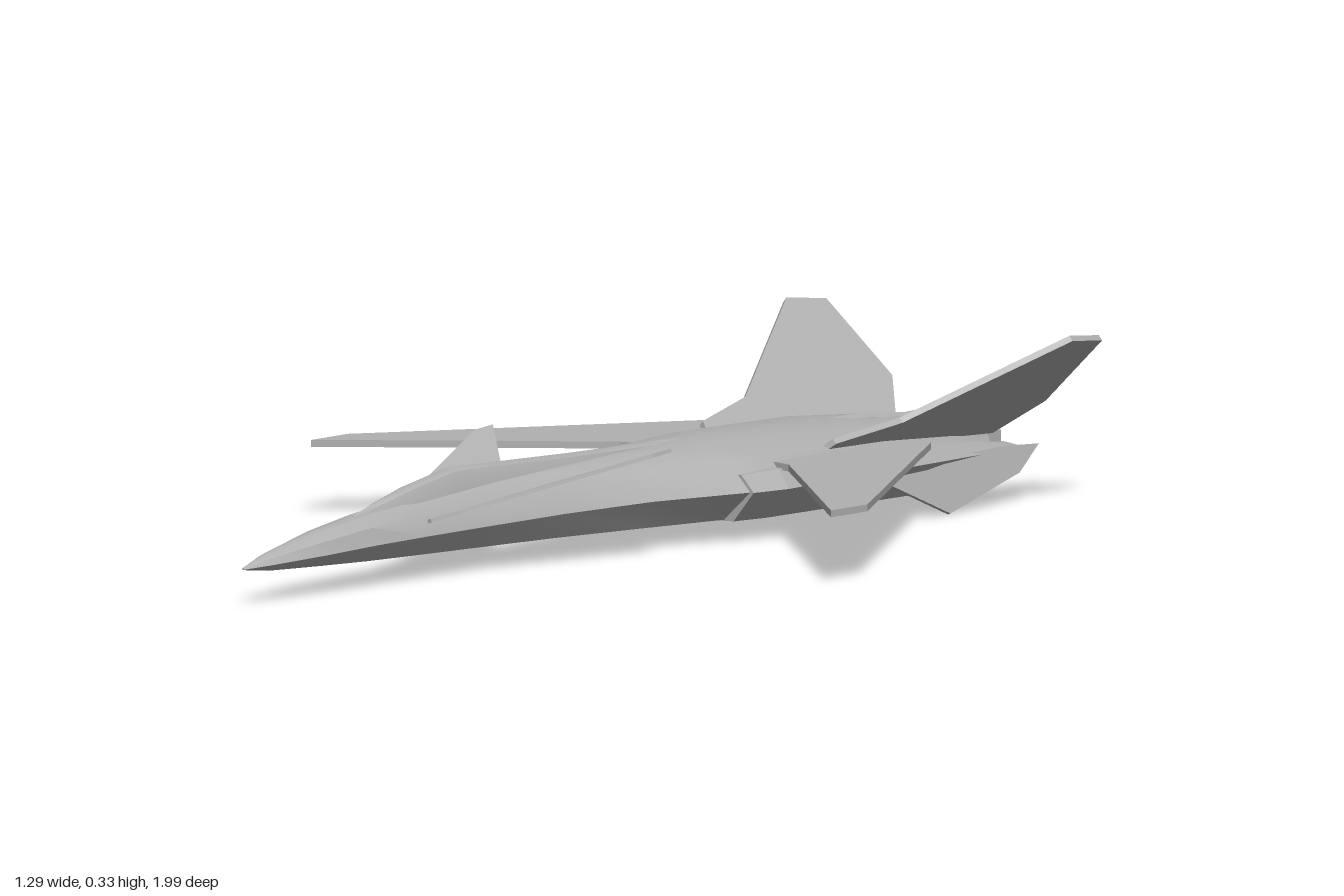
import * as THREE from 'three';
import { toCreasedNormals } from 'three/addons/utils/BufferGeometryUtils.js';

const grey = new THREE.MeshStandardMaterial({ color: 0xb0b0b0, side: THREE.DoubleSide });
grey.name = 'airframe grey';

// Skins mirrored half-sections [z, x0,y0, x1,y1, ...] (bottom centre to top centre, nose to tail)
function loft(name, rows, crease = 0.55) {
  const pos = [], idx = [];
  let n = 0;
  for (const [z, ...v] of rows) {
    const half = [];
    for (let i = 0; i < v.length; i += 2) half.push([v[i], v[i + 1]]);
    const ring = [...half, ...half.slice(1, -1).reverse().map(([x, y]) => [-x, y])];
    n = ring.length;
    ring.forEach(([x, y]) => pos.push(x, y, z));
  }
  for (let i = 0; i < rows.length - 1; i++) {
    for (let j = 0; j < n; j++) {
      const a = i * n + j, b = i * n + (j + 1) % n;
      idx.push(a, a + n, b, b, a + n, b + n);
    }
  }
  const last = (rows.length - 1) * n;
  for (let j = 1; j < n - 1; j++) idx.push(0, j, j + 1, last, last + j + 1, last + j);
  const geo = new THREE.BufferGeometry();
  geo.setAttribute('position', new THREE.Float32BufferAttribute(pos, 3));
  geo.setIndex(idx);
  const mesh = new THREE.Mesh(toCreasedNormals(geo, crease), grey);
  mesh.name = name;
  return mesh;
}

// Flat plate: a 2D outline placed in space by a linear rule, then thickened along its normal
function plate(name, outline, place, thickness) {
  const shape = new THREE.Shape(outline.map(([u, v]) => new THREE.Vector2(u, v)));
  const geo = new THREE.ExtrudeGeometry(shape, { depth: 1, bevelEnabled: false });
  const at = (u, v) => new THREE.Vector3(...place(u, v));
  const o = at(0, 0);
  const normal = at(1, 0).sub(o).cross(at(0, 1).sub(o)).normalize();
  const p = geo.attributes.position;
  for (let i = 0; i < p.count; i++) {
    const q = at(p.getX(i), p.getY(i)).addScaledVector(normal, (p.getZ(i) - 0.5) * thickness);
    p.setXYZ(i, q.x, q.y, q.z);
  }
  geo.computeVertexNormals();
  const mesh = new THREE.Mesh(geo, grey);
  mesh.name = name;
  return mesh;
}

export function createModel() {
  const model = new THREE.Group();
  model.name = 'jet';

  // Chined fuselage: belly edge, chine, shoulder, crown
  const hull = [
    // z, belly x,y, chine x,y, shoulder x,y, crown x,y
    [0.99, 0.001, 0.069, 0.003, 0.07, 0.002, 0.072, 0.001, 0.073],
    [0.93, 0.009, 0.062, 0.022, 0.074, 0.016, 0.086, 0.007, 0.091],
    [0.8, 0.018, 0.057, 0.042, 0.08, 0.033, 0.104, 0.014, 0.118],
    [0.68, 0.025, 0.053, 0.051, 0.085, 0.04, 0.117, 0.018, 0.135],
    [0.55, 0.03, 0.05, 0.06, 0.088, 0.046, 0.127, 0.022, 0.148],
    [0.42, 0.038, 0.048, 0.068, 0.09, 0.05, 0.136, 0.026, 0.158],
    [0.2, 0.055, 0.045, 0.088, 0.094, 0.062, 0.145, 0.034, 0.167],
    [0, 0.085, 0.043, 0.122, 0.097, 0.085, 0.15, 0.045, 0.172],
    [-0.2, 0.13, 0.043, 0.195, 0.1, 0.14, 0.152, 0.06, 0.175],
    [-0.28, 0.14, 0.043, 0.205, 0.1, 0.16, 0.152, 0.07, 0.177],
    [-0.6, 0.14, 0.045, 0.19, 0.1, 0.15, 0.15, 0.085, 0.168],
    [-0.8, 0.13, 0.065, 0.16, 0.1, 0.13, 0.138, 0.075, 0.152],
    [-0.92, 0.11, 0.08, 0.13, 0.1, 0.12, 0.122, 0.07, 0.132],
  ];
  model.add(loft('fuselage', hull.map(([z, ...v]) =>
    [z, 0, v[1], ...v, 0, v[7] + Math.min(0.005, v[6] * 0.1)])));

  // Canopy flowing into a long dorsal fairing: z, half width, top height
  const canopy = [
    [0.69, 0.006, 0.137], [0.62, 0.02, 0.156], [0.54, 0.026, 0.176],
    [0.42, 0.028, 0.197], [0.32, 0.029, 0.194], [0.1, 0.03, 0.187],
    [-0.1, 0.024, 0.183], [-0.26, 0.012, 0.18],
  ];
  model.add(loft('canopyAndSpine', canopy.map(([z, w, y]) =>
    [z, 0, 0.11, w * 1.2, 0.12, w, y - 0.028, w * 0.6, y - 0.005, 0, y]), 0.7));

  // Wide engine housing under the rear: z, floor centre y, floor edge x,y, side x, side y, deck x
  const housing = [
    [-0.19, 0.035, 0.15, 0.042, 0.2, 0.1, 0.17],
    [-0.27, 0.033, 0.16, 0.041, 0.215, 0.1, 0.19],
    [-0.68, 0.025, 0.15, 0.036, 0.2, 0.1, 0.17],
    [-0.9, 0.05, 0.14, 0.062, 0.18, 0.097, 0.13],
    [-0.97, 0.07, 0.13, 0.078, 0.17, 0.095, 0.12],
  ];
  model.add(loft('engineHousing', housing.map(([z, y0, x1, y1, x2, y2, x3], i) => {
    const deck = [0.13, 0.135, 0.135, 0.108, 0.1][i];
    return [z, 0, y0, x1, y1, x2, y2, x3, deck, 0, deck];
  }), 0.2));

  // Pointed tail spine between the engines
  model.add(loft('tailSpine', [
    [-0.5, 0, 0.15, 0.004, 0.155, 0.002, 0.17, 0, 0.173],
    [-0.72, 0, 0.12, 0.03, 0.13, 0.022, 0.164, 0, 0.171],
    [-0.9, 0, 0.09, 0.045, 0.1, 0.022, 0.137, 0, 0.15],
    [-0.995, 0, 0.095, 0.008, 0.1, 0.006, 0.11, 0, 0.115],
  ], 0.2));

  for (const s of [1, -1]) {
    const side = s > 0 ? 'left' : 'right';

    // Forward-swept wing
    model.add(plate(side + 'Wing',
      [[0.12, -0.29], [0.21, -0.275], [0.645, 0.09], [0.645, -0.01], [0.22, -0.655], [0.12, -0.6]],
      (x, z) => [s * x, 0.138, z], 0.013));

    // Canard, rising outward and rearward
    model.add(plate(side + 'Canard',
      [[0.035, 0.54], [0.06, 0.54], [0.075, 0.47], [0.222, 0.11], [0.222, 0.06], [0.07, 0.2], [0.035, 0.17]],
      (x, z) => [s * x, 0.115 + 0.31 * (x - 0.055) + 0.09 * (0.54 - z), z], 0.007));

    // Canted tail fin with its forward root strake
    model.add(plate(side + 'TailFin',
      [[0.145, -0.44], [0.165, -0.45], [0.195, -0.6], [0.355, -0.89], [0.342, -0.985],
        [0.19, -0.998], [0.12, -0.93], [0.135, -0.7]],
      (x, z) => [s * x, 0.325 + 0.85 * (x - 0.355), z], 0.012));

    // Ventral fin
    model.add(plate(side + 'VentralFin',
      [[-0.56, 0.075], [-0.71, 0.004], [-0.92, 0.055], [-0.99, 0.1], [-0.9, 0.105], [-0.6, 0.1]],
      (z, y) => [s * (0.215 - 0.35 * (y - 0.004)), y, z], 0.007));

    // Flattened open exhaust nozzle
    const tube = new THREE.CylinderGeometry(1, 0.85, 0.16, 8, 1, true);
    tube.rotateY(Math.PI / 8).rotateX(-Math.PI / 2).scale(0.039, 0.028, 1);
    const nozzle = new THREE.Mesh(toCreasedNormals(tube, 0.3), grey);
    nozzle.name = side + 'Nozzle';
    nozzle.position.set(s * 0.082, 0.112, -0.88);
    model.add(nozzle);
  }
  return model;
}
